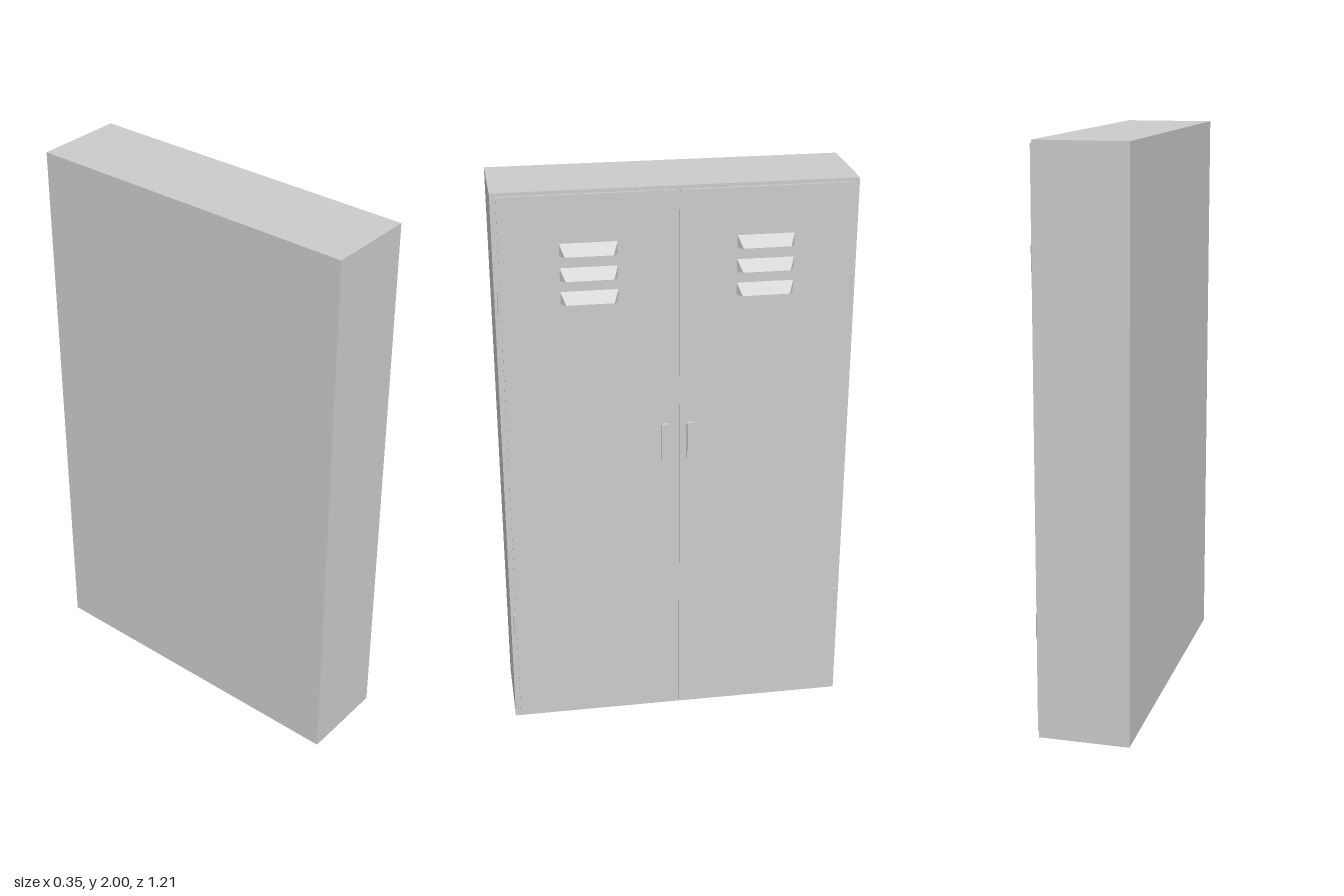
import * as THREE from 'three';

const material = new THREE.MeshStandardMaterial({ color: 0xcccccc, flatShading: true });

function add(parent, name, geometry, x = 0, y = 0, z = 0) {
  const mesh = new THREE.Mesh(geometry, material);
  mesh.name = name;
  mesh.position.set(x, y, z);
  parent.add(mesh);
  return mesh;
}

// Box given by its minimum and maximum corners
function addBox(parent, name, [x0, y0, z0], [x1, y1, z1]) {
  return add(parent, name, new THREE.BoxGeometry(x1 - x0, y1 - y0, z1 - z0),
    (x0 + x1) / 2, (y0 + y1) / 2, (z0 + z1) / 2);
}

// Vent hood: a box whose outer face shrinks to a narrower lower edge
function louverGeometry(depth, height, width, inset) {
  const geometry = new THREE.BoxGeometry(depth, height, width);
  const p = geometry.attributes.position;
  for (let i = 0; i < p.count; i++) {
    if (p.getX(i) > 0) {
      p.setY(i, -height / 2 + (p.getY(i) > 0 ? 0.003 : 0));
      p.setZ(i, Math.sign(p.getZ(i)) * (width / 2 - inset));
    }
  }
  geometry.computeVertexNormals();
  return geometry;
}

export function createModel() {
  const model = new THREE.Group();
  model.name = 'locker';

  addBox(model, 'cabinet', [-0.178, 0, -0.607], [0.138, 2, 0.607]);

  for (const side of [1, -1]) {
    const door = new THREE.Group();
    door.name = side > 0 ? 'leftDoor' : 'rightDoor';
    model.add(door);
    const span = (a, b) => (side > 0 ? [a, b] : [-b, -a]);

    // Door panel
    const [p0, p1] = span(0.007, 0.588);
    addBox(door, 'doorPanel', [0.139, 0.014, p0], [0.148, 1.988, p1]);

    // Pull handle
    const [h0, h1] = span(0.032, 0.057);
    addBox(door, 'handle', [0.147, 1.026, h0], [0.161, 1.163, h1]);

    // Vent hoods
    for (const y of [1.805, 1.722, 1.64]) {
      add(door, 'louver', louverGeometry(0.027, 0.042, 0.192, 0.016), 0.1615, y, side * 0.295);
    }

    // Hinge barrels at the outer edge
    for (const y of [0.398, 1.63]) {
      add(door, 'hinge', new THREE.CylinderGeometry(0.006, 0.006, 0.084, 10), 0.142, y, side * 0.592);
    }

    // Pivot pins of the inner edge
    for (const y of [0.036, 1.966]) {
      addBox(door, 'latch', [0.138, y - 0.004, side > 0 ? 0 : -0.007], [0.143, y + 0.004, side > 0 ? 0.007 : 0]);
    }
  }
  return model;
}
